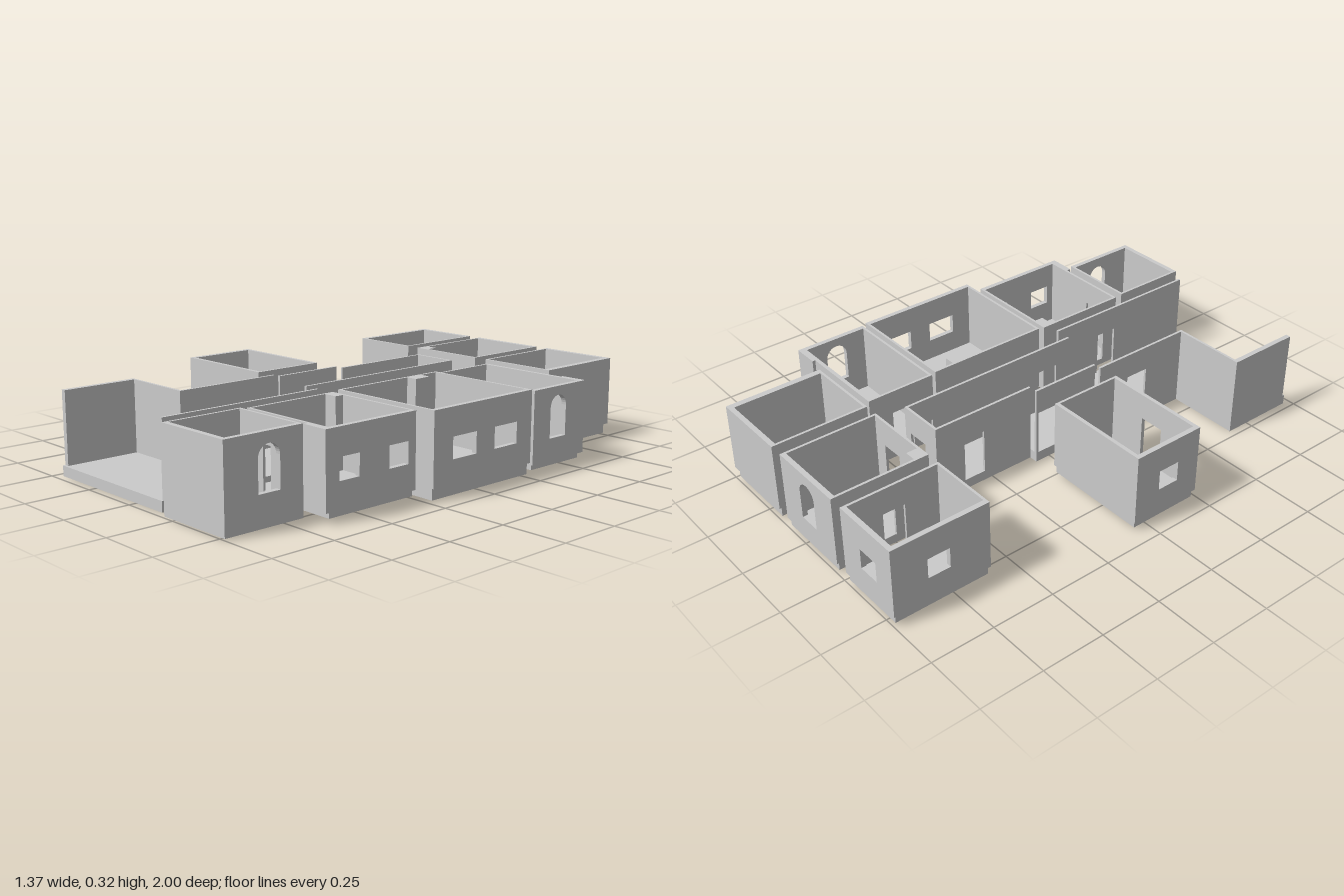
import * as THREE from 'three';

const material = new THREE.MeshStandardMaterial({ color: 0xcccccc, flatShading: true });
const DOOR_TOP = 0.22;

function addMesh(parent, name, geometry) {
  const mesh = new THREE.Mesh(geometry, material);
  mesh.name = name;
  parent.add(mesh);
  return mesh;
}

function addBox(parent, name, x0, x1, y0, y1, z0, z1) {
  addMesh(parent, name, new THREE.BoxGeometry(x1 - x0, y1 - y0, z1 - z0))
    .position.set((x0 + x1) / 2, (y0 + y1) / 2, (z0 + z1) / 2);
}

// Upright wall from a to b along an axis; c is its lower edge across that axis, t its thickness.
// Openings are [kind, centre along the wall, width].
function addWall(parent, name, axis, a, b, c, t, y0, y1, openings = []) {
  const shape = new THREE.Shape();
  shape.moveTo(a, y0);
  const doors = openings.filter(o => o[0] === 'door').sort((p, q) => p[1] - q[1]);
  for (const [, m, w = 0.09] of doors) {
    shape.lineTo(m - w / 2, y0);
    shape.lineTo(m - w / 2, DOOR_TOP);
    shape.lineTo(m + w / 2, DOOR_TOP);
    shape.lineTo(m + w / 2, y0);
  }
  shape.lineTo(b, y0);
  shape.lineTo(b, y1);
  shape.lineTo(a, y1);
  shape.closePath();
  for (const [kind, m, w = 0.09] of openings) {
    if (kind === 'door') continue;
    const r = w / 2, hole = new THREE.Path();
    const bottom = kind === 'arch' ? 0.12 : 0.135;
    hole.moveTo(m - r, bottom);
    hole.lineTo(m + r, bottom);
    if (kind === 'arch') {
      hole.lineTo(m + r, 0.235);
      hole.absarc(m, 0.235, r, 0, Math.PI, false);
    } else {
      hole.lineTo(m + r, 0.215);
      hole.lineTo(m - r, 0.215);
    }
    hole.closePath();
    shape.holes.push(hole);
  }
  const wall = addMesh(parent, name,
    new THREE.ExtrudeGeometry(shape, { depth: t, bevelEnabled: false, curveSegments: 8 }));
  if (axis === 'x') wall.position.z = c;
  else {
    wall.rotation.y = -Math.PI / 2;
    wall.position.x = c + t;
  }
}

// x, z: outer bounds; y: slab bottom, wall bottom, wall top;
// t: wall thickness for -x, +x, back, front; the thick outer walls overhang the slab.
const rooms = [
  { name: 'backRightRoom', x: [-0.55, -0.265], z: [-1, -0.605], y: [0.01, 0.045, 0.322], t: [0.02, 0.01, 0.02, 0.01],
    left: [['window', -0.815]], back: [['window', -0.415]], right: [['door', -0.8]] },
  { name: 'backMiddleRoom', x: [-0.21, 0.115], z: [-1, -0.605], y: [0.01, 0.045, 0.322], t: [0.01, 0.01, 0.02, 0.01],
    back: [['arch', -0.047]], left: [['door', -0.8]], front: [['door', 0.005]],
    shaft: [-0.2, -0.155, -0.66, -0.615] },
  { name: 'backLeftRoom', x: [0.17, 0.495], z: [-1, -0.605], y: [0.01, 0.05, 0.322], t: [0.01, 0.025, 0.02, 0.01],
    left: [['door', -0.72]] },
  { name: 'archedSideRoom', x: [0.205, 0.68], z: [-0.575, -0.29], y: [0.015, 0.035, 0.313], t: [0.01, 0.02, 0.015, 0.01],
    right: [['arch', -0.43]], left: [['door', -0.43]] },
  { name: 'largeSideRoom', x: [0.205, 0.68], z: [-0.275, 0.235], y: [0.005, 0.048, 0.32], t: [0.01, 0.02, 0.01, 0.01],
    right: [['window', 0.08, 0.12], ['window', -0.135, 0.12]], left: [['door', 0.17]],
    shaft: [0.215, 0.26, -0.185, -0.11] },
  { name: 'middleSideRoom', x: [0.205, 0.62], z: [0.26, 0.65], y: [0.015, 0.038, 0.315], t: [0.01, 0.02, 0.01, 0.01],
    right: [['window', 0.565], ['window', 0.34]], left: [['door', 0.54]], front: [['door', 0.33]],
    shaft: [0.215, 0.27, 0.27, 0.305] },
  { name: 'frontSideRoom', x: [0.205, 0.525], z: [0.68, 1], y: [0.005, 0.006, 0.32], t: [0.01, 0.02, 0.01, 0.02],
    right: [['arch', 0.82]], back: [['door', 0.33]] },
  { name: 'detachedRoom', x: [-0.685, -0.245], z: [-0.065, 0.235], y: [0.01, 0.043, 0.32], t: [0.02, 0.01, 0.015, 0.015],
    left: [['window', 0.09]], front: [['door', -0.46, 0.1]] },
];

function makeRoom({ name, x: [x0, x1], z: [z0, z1], y: [yb, yw, yt], t, left, right, back, front, shaft }) {
  const room = new THREE.Group();
  room.name = name;
  const inset = t.map(v => v / 2);
  addBox(room, 'floorSlab', x0 + inset[0], x1 - inset[1], yb, Math.max(yw, 0.04), z0 + inset[2], z1 - inset[3]);
  addWall(room, 'backWall', 'x', x0, x1, z0, t[2], yw, yt, back);
  addWall(room, 'frontWall', 'x', x0, x1, z1 - t[3], t[3], yw, yt, front);
  addWall(room, 'rightWall', 'z', z0 + t[2], z1 - t[3], x0, t[0], yw, yt, left);
  addWall(room, 'leftWall', 'z', z0 + t[2], z1 - t[3], x1 - t[1], t[1], yw, yt, right);
  if (shaft) addBox(room, 'cornerShaft', shaft[0], shaft[1], yw, yt, shaft[2], shaft[3]);
  return room;
}

function makeHall() {
  const hall = new THREE.Group();
  hall.name = 'hall';
  // stepped floor, drawn with z negated and laid flat
  const outline = [[-0.105, -0.5], [0.085, -0.5], [0.085, 0.28], [0.15, 0.28], [0.15, 0.97], [-0.47, 0.97],
    [-0.47, 0.655], [-0.17, 0.655], [-0.17, 0.225], [-0.14, 0.225], [-0.14, -0.065], [-0.105, -0.065]];
  const shape = new THREE.Shape(outline.map(([x, z]) => new THREE.Vector2(x, -z)));
  addMesh(hall, 'hallFloor', new THREE.ExtrudeGeometry(shape, { depth: 0.04, bevelEnabled: false }))
    .rotation.x = -Math.PI / 2;

  const y = [0.04, 0.32];
  const t = 0.01;
  addWall(hall, 'endWall', 'x', -0.105, 0.085, -0.5, t, ...y, [['door', 0.008]]);
  addWall(hall, 'rightBackWall', 'z', -0.49, -0.065, -0.105, t, ...y, [['door', -0.33]]);
  addWall(hall, 'rightMiddleWall', 'z', -0.065, 0.225, -0.14, t, ...y, [['door', -0.01]]);
  addWall(hall, 'rightFrontWall', 'z', 0.225, 0.655, -0.17, t, ...y, [['door', 0.42, 0.1]]);
  addWall(hall, 'porchBackWall', 'x', -0.47, -0.16, 0.655, t, ...y);
  addWall(hall, 'porchSideWall', 'z', 0.665, 0.96, -0.47, 0.02, ...y);
  addWall(hall, 'leftBackWall', 'z', -0.49, 0.28, 0.075, t, ...y, [['door', -0.43], ['door', 0.17]]);
  addWall(hall, 'leftFrontWall', 'z', 0.28, 0.96, 0.14, t, ...y, [['door', 0.54]]);
  return hall;
}

export function createModel() {
  const model = new THREE.Group();
  model.name = 'explodedHouse';
  for (const room of rooms) model.add(makeRoom(room));
  model.add(makeHall());
  // short wall returns stepping out from two side rooms
  addBox(model, 'backReturn', 0.575, 0.68, 0.035, 0.313, -0.587, -0.575);
  addBox(model, 'frontReturn', 0.515, 0.62, 0.038, 0.315, 0.65, 0.668);
  return model;
}
